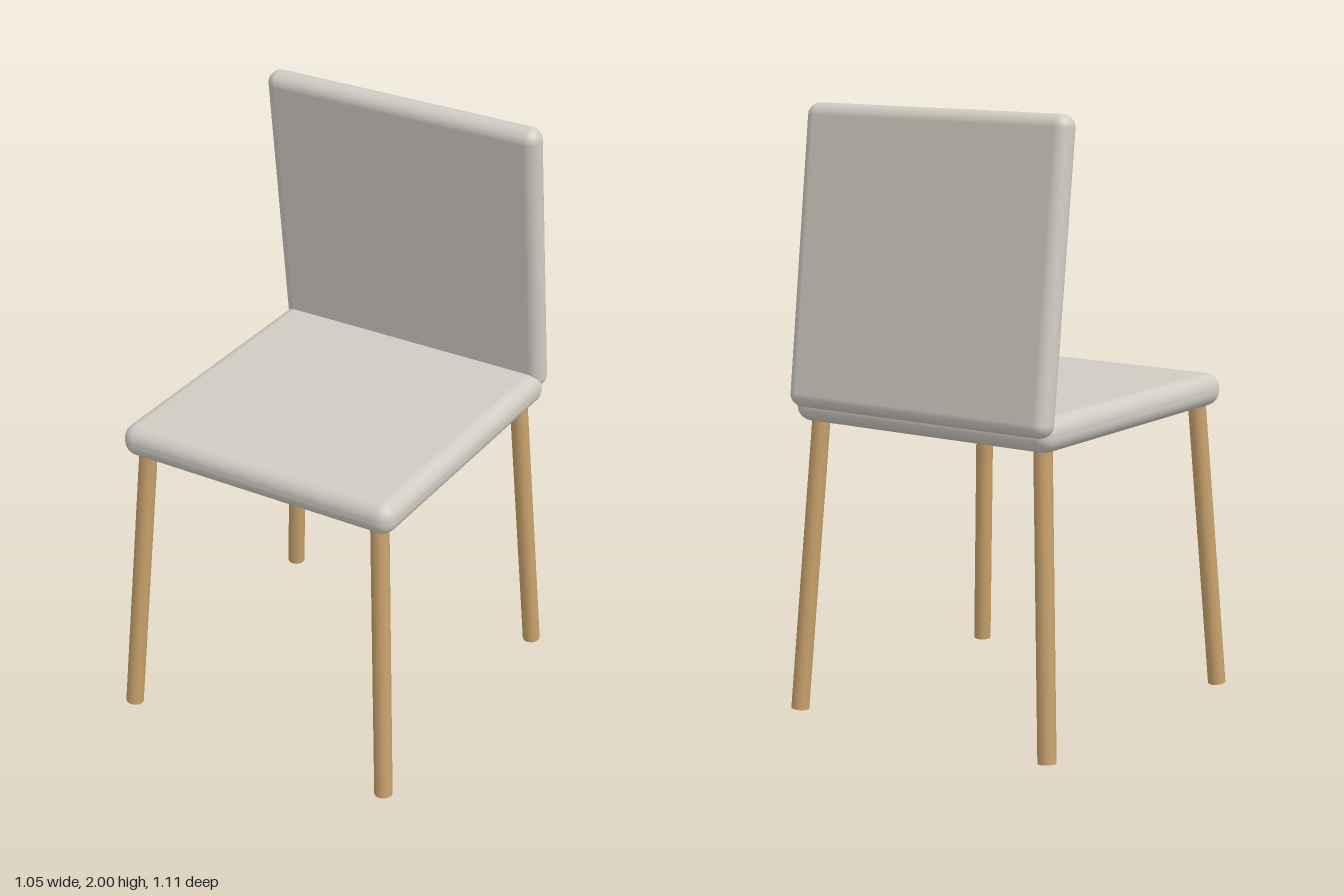
import * as THREE from 'three';
import { RoundedBoxGeometry } from 'three/addons/geometries/RoundedBoxGeometry.js';

export function createModel() {
  const chair = new THREE.Group();
  chair.name = 'chair';

  const fabric = new THREE.MeshStandardMaterial({ color: 0xd0ccc4 });
  fabric.name = 'warm grey upholstery';
  const wood = new THREE.MeshStandardMaterial({ color: 0xc8a26c });
  wood.name = 'light wood';

  const cushion = (name, w, h, d, radius) => {
    const mesh = new THREE.Mesh(new RoundedBoxGeometry(w, h, d, 5, radius), fabric);
    mesh.name = name;
    chair.add(mesh);
    return mesh;
  };

  // Padded seat
  cushion('seat', 1.01, 0.11, 1.055, 0.05).position.set(0, 1.03, 0.002);

  // Padded backrest, leaning forward at the top
  const back = cushion('backrest', 1.01, 0.982, 0.086, 0.042);
  back.position.set(0, 1.513, -0.457);
  back.rotation.x = 0.123;

  // Splayed round legs, running a little way into the seat
  const up = new THREE.Vector3(0, 1, 0);
  const addLeg = (name, foot, top) => {
    const axis = top.clone().sub(foot);
    const leg = new THREE.Mesh(new THREE.CylinderGeometry(0.03, 0.03, axis.length(), 12), wood);
    leg.name = name;
    leg.position.copy(foot).add(top).multiplyScalar(0.5);
    leg.quaternion.setFromUnitVectors(up, axis.normalize());
    chair.add(leg);
  };
  for (const [side, s] of [['Left', 1], ['Right', -1]]) {
    addLeg('front' + side + 'Leg', new THREE.Vector3(s * 0.495, 0.003, 0.525), new THREE.Vector3(s * 0.435, 1.0, 0.463));
    addLeg('back' + side + 'Leg', new THREE.Vector3(s * 0.495, 0.003, -0.517), new THREE.Vector3(s * 0.435, 1.0, -0.455));
  }

  return chair;
}
